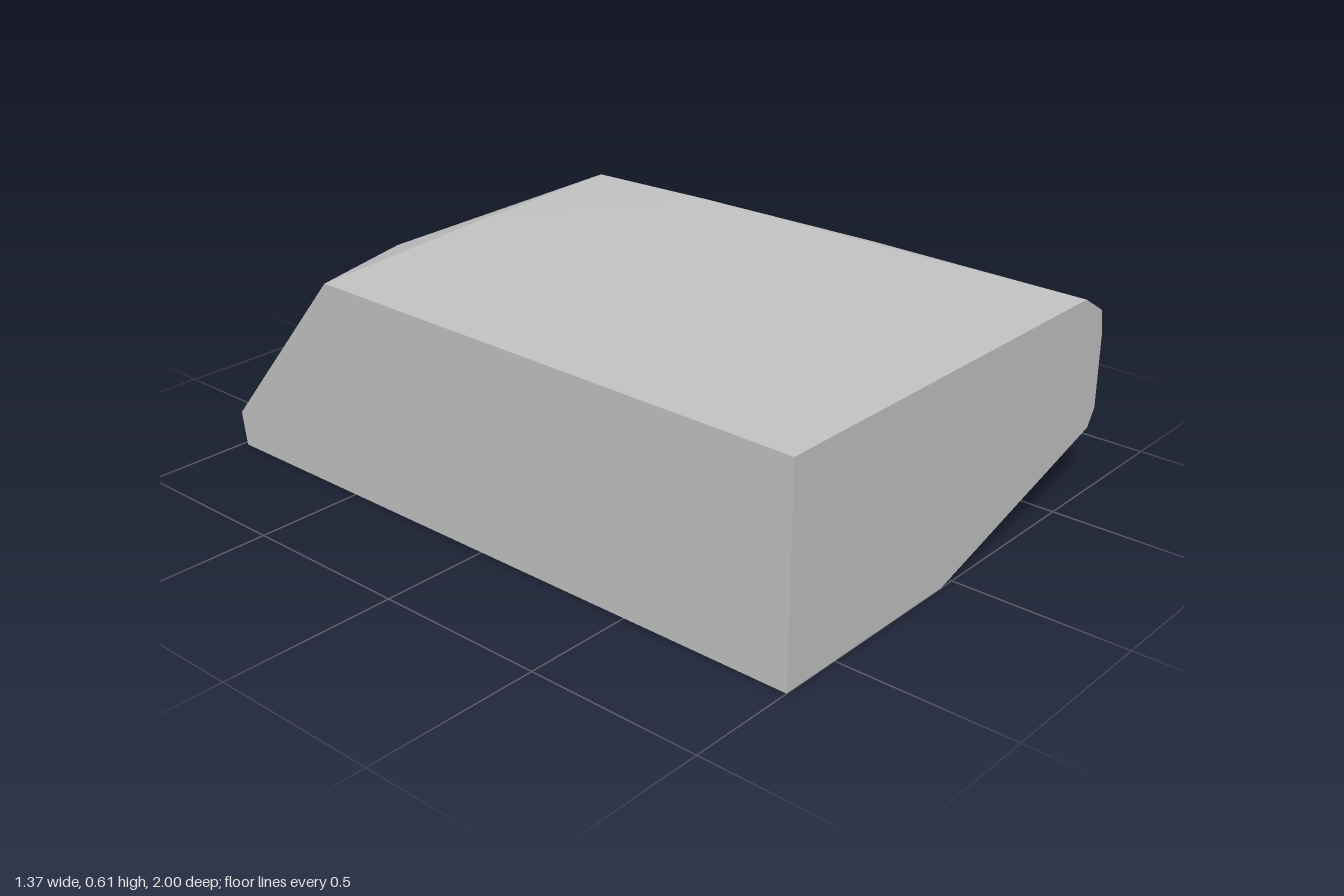
import * as THREE from 'three';
import { ConvexGeometry } from 'three/addons/geometries/ConvexGeometry.js';

// One faceted convex block: flat front and inner side, rounded back and outer side.
export function createModel() {
  const stone = new THREE.MeshStandardMaterial({ color: 0xc4c4c4, flatShading: true });
  stone.name = 'stone grey';

  const frontOutline = [
    [-0.683, 0], [-0.05, 0], [0.65, 0.2], [0.68, 0.25],
    [0.68, 0.47], [0.665, 0.54], [0.575, 0.595], [-0.683, 0.597],
  ].map(([x, y]) => [x, y, 1]);

  const innerSide = [[0.605, -0.57], [0.1, -1], [0, -0.985]].map(([y, z]) => [-0.683, y, z]);

  const baseOutline = [
    [0.65, 0], [0.68, -0.08], [0.683, -0.7], [0.64, -0.91], [0.51, -0.977], [-0.04, -0.985],
  ].map(([x, z]) => [x, 0, z]);

  // Rounded back edge, in rows from the top down
  const backRows = [
    [0.565, 0.587, -0.725], [0, 0.598, -0.66],
    [-0.19, 0.52, -0.845], [0.585, 0.49, -0.872],
    [0.02, 0.335, -0.97], [0.6, 0.325, -0.965],
    [0.52, 0.1, -0.996], [0.645, 0.11, -0.953],
  ];

  // Rounded outer side
  const outerSide = [
    [0.565, 0.597, -0.3], [0.61, 0.585, 0.3], [0.665, 0.535, -0.51],
    [0.682, 0.475, 0.37], [0.674, 0.385, -0.835], [0.682, 0.12, -0.77],
  ];

  const points = [...frontOutline, ...innerSide, ...baseOutline, ...backRows, ...outerSide]
    .map((p) => new THREE.Vector3(...p));
  const block = new THREE.Mesh(new ConvexGeometry(points), stone);
  block.name = 'roundedBlock';

  const group = new THREE.Group();
  group.name = 'cutBlock';
  group.add(block);
  return group;
}
